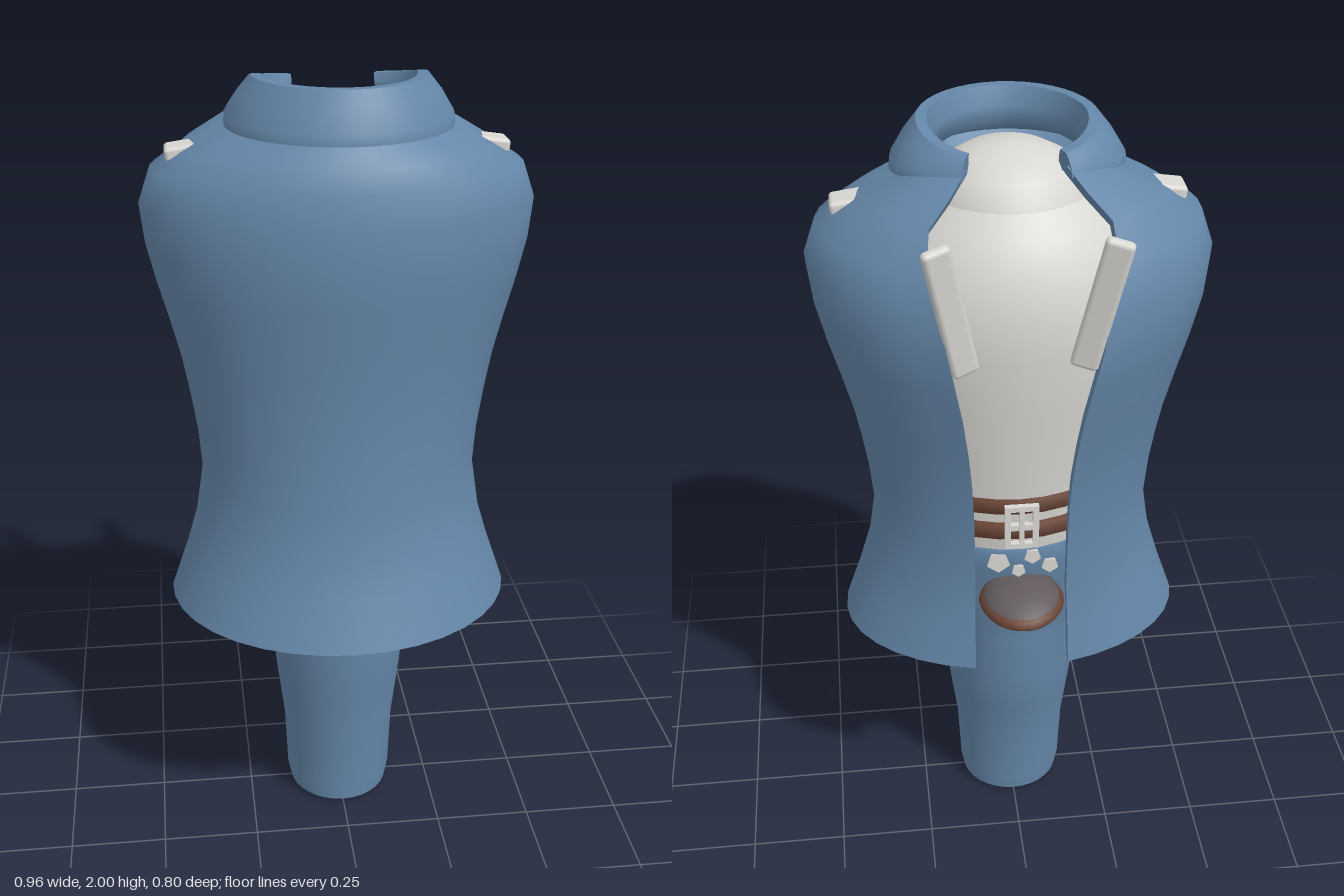
import * as THREE from 'three';
import { mergeGeometries } from 'three/addons/utils/BufferGeometryUtils.js';
import { RoundedBoxGeometry } from 'three/addons/geometries/RoundedBoxGeometry.js';

const SEGS = 32;
const mat = (name, color) => {
  const m = new THREE.MeshStandardMaterial({ color });
  m.name = name;
  return m;
};

// Smooth skin over a grid of points
function skin(rows, closed = false) {
  const n = rows[0].length, pos = rows.flat(2), idx = [];
  for (let i = 0; i < rows.length - 1; i++) {
    for (let j = 0; j < (closed ? n : n - 1); j++) {
      const k = (j + 1) % n, a = i * n + j, b = i * n + k, c = a + n, d = b + n;
      idx.push(a, c, b, b, c, d);
    }
  }
  const g = new THREE.BufferGeometry();
  g.setAttribute('position', new THREE.Float32BufferAttribute(pos, 3));
  g.setIndex(idx);
  g.computeVertexNormals();
  return g;
}

// One oval section; angle 0 is the back, gap is the half width left open there
function section([y, hx, front, back, gap = 0, tilt = 0], cz = 0, closed = false) {
  const start = gap ? Math.asin(Math.min(1, gap / hx)) : 0;
  return Array.from({ length: closed ? SEGS : SEGS + 1 }, (_, j) => {
    const t = start + (2 * Math.PI - 2 * start) * j / SEGS, c = Math.cos(t);
    return [hx * Math.sin(t), y + tilt * Math.max(0, c), cz - c * (c > 0 ? back : front)];
  });
}

const solid = (rows, cz = 0) => skin(rows.map(r => section(r, cz, true)), true);

// Thick garment wall, open at the back
function shell(outerRows, innerRows, cz = 0) {
  const out = outerRows.map(r => section(r, cz)), inn = innerRows.map(r => section(r, cz));
  const top = out.length - 1;
  return mergeGeometries([
    skin(out),
    skin([...inn].reverse()),
    skin([out[top], inn[top]]),
    skin([inn[0], out[0]]),
    skin(out.map((r, i) => [inn[i][0], r[0]])),
    skin(out.map((r, i) => [r[SEGS], inn[i][SEGS]])),
  ]);
}

export function createModel() {
  const group = new THREE.Group();
  const blue = mat('blue cloth', 0x6587a9);
  const light = mat('light cloth', 0xd9d7d2);
  const brown = mat('brown leather', 0x6b4535);
  const dark = mat('dark grey', 0x625a5d);

  const add = (name, geometry, material, x = 0, y = 0, z = 0) => {
    const m = new THREE.Mesh(geometry, material);
    m.name = name;
    m.position.set(x, y, z);
    group.add(m);
    return m;
  };

  // Flared coat: height, half width, front depth, back depth, opening, back rise
  const coat = [
    [0.645, 0.445, 0.40, 0.31, 0.12],
    [0.76, 0.405, 0.355, 0.295, 0.118],
    [0.87, 0.372, 0.317, 0.28, 0.115],
    [1.0, 0.352, 0.305, 0.285, 0.115],
    [1.1, 0.36, 0.298, 0.29, 0.116],
    [1.2, 0.375, 0.296, 0.30, 0.12],
    [1.3, 0.393, 0.30, 0.32, 0.128],
    [1.4, 0.418, 0.307, 0.34, 0.14],
    [1.5, 0.445, 0.317, 0.36, 0.157],
    [1.6, 0.468, 0.325, 0.375, 0.175],
    [1.7, 0.479, 0.318, 0.36, 0.19],
    [1.78, 0.45, 0.305, 0.33, 0.21],
    [1.83, 0.37, 0.283, 0.28, 0.2, 0.03],
    [1.86, 0.31, 0.262, 0.22, 0.15, 0.05],
    [1.888, 0.25, 0.238, 0.16, 0.11, 0.065],
  ];
  const lining = coat.map(([y, x, f, b, g, t]) =>
    [y > 1.75 ? y - 0.025 : y, x - 0.028, f - 0.028, b - 0.028, g, t]);
  add('coat', shell(coat, lining), blue);

  // Folded collar
  add('collar', shell(
    [[1.885, 0.272, 0.268, 0.21, 0.12, 0.045], [1.91, 0.27, 0.265, 0.205, 0.12, 0.035],
      [1.96, 0.24, 0.24, 0.195, 0.115, 0], [2.0, 0.208, 0.218, 0.185, 0.11, -0.035]],
    [[1.885, 0.225, 0.21, 0.16, 0.105, 0.045], [1.91, 0.165, 0.17, 0.15, 0.1, 0.035],
      [1.955, 0.17, 0.175, 0.155, 0.1, 0], [2.0, 0.183, 0.193, 0.163, 0.1, -0.035]], 0.03), blue);

  // Shirt with a rounded top
  add('shirt', solid([
    [0.8, 0.25, 0.2, 0.21], [0.97, 0.265, 0.215, 0.245], [1.1, 0.278, 0.22, 0.255],
    [1.25, 0.3, 0.225, 0.27], [1.4, 0.335, 0.24, 0.29], [1.55, 0.36, 0.25, 0.304],
    [1.65, 0.355, 0.25, 0.302], [1.74, 0.31, 0.24, 0.28], [1.81, 0.25, 0.22, 0.24],
    [1.86, 0.2, 0.2, 0.19],
  ]), light);
  add('neck', solid([
    [1.82, 0.19, 0.18, 0.195], [1.86, 0.178, 0.165, 0.183], [1.9, 0.145, 0.14, 0.15],
    [1.925, 0.1, 0.1, 0.1], [1.938, 0.05, 0.05, 0.05], [1.942, 0, 0, 0],
  ], 0.02), light);

  // Trousers tapering to one narrow foot end
  add('trousers', solid([
    [0.01, 0.135, 0.145, 0.125], [0.05, 0.143, 0.148, 0.13], [0.22, 0.15, 0.157, 0.14],
    [0.36, 0.167, 0.177, 0.172], [0.5, 0.182, 0.193, 0.2], [0.645, 0.19, 0.2, 0.2],
    [0.7, 0.23, 0.207, 0.207], [0.8, 0.265, 0.215, 0.225], [0.92, 0.272, 0.225, 0.25],
    [0.98, 0.273, 0.225, 0.256], [0.985, 0.26, 0.21, 0.24],
  ]), blue);
  add('trouserEnd', solid([[0, 0, 0, 0], [0.01, 0.135, 0.145, 0.125]]), blue);

  // Two belt straps with a double buckle
  for (const y of [1.05, 1.125]) {
    add('beltStrap', solid([
      [y - 0.022, 0.27, 0.21, 0.245], [y - 0.02, 0.288, 0.234, 0.266],
      [y + 0.02, 0.29, 0.236, 0.268], [y + 0.022, 0.272, 0.21, 0.245],
    ]), brown);
  }
  const rect = (C, w, h, y = 0) => new C([
    new THREE.Vector2(-w, y - h), new THREE.Vector2(w, y - h),
    new THREE.Vector2(w, y + h), new THREE.Vector2(-w, y + h)]);
  const frame = rect(THREE.Shape, 0.042, 0.062);
  frame.holes.push(rect(THREE.Path, 0.027, 0.02, -0.028), rect(THREE.Path, 0.027, 0.02, 0.028));
  add('buckle', new THREE.ExtrudeGeometry(frame, { depth: 0.015, bevelEnabled: false }), light, 0, 1.075, -0.282);
  add('bucklePin', new THREE.BoxGeometry(0.012, 0.11, 0.012), light, 0, 1.075, -0.278);

  // Light patches below the belt
  for (const [x, y, r] of [[0.055, 0.95, 0.03], [-0.03, 0.965, 0.022], [0.005, 0.925, 0.018], [-0.075, 0.93, 0.022]]) {
    const patch = add('clothPatch', new THREE.CylinderGeometry(r, r, 0.008, 5), light, x, y, -0.257 + Math.abs(x) * 0.12);
    patch.rotation.x = Math.PI / 2;
  }

  // Rounded flap standing out at the back
  add('flapBase', solid([
    [0.82, 0, 0, 0], [0.823, 0.06, 0.08, 0.07], [0.838, 0.1, 0.1, 0.115],
    [0.85, 0.107, 0.1, 0.125], [0.864, 0.1, 0.1, 0.115], [0.868, 0.09, 0.09, 0.1],
  ], -0.275), brown);
  add('flapTop', solid([
    [0.86, 0.097, 0.1, 0.113], [0.874, 0.092, 0.1, 0.1], [0.89, 0.07, 0.09, 0.06],
    [0.898, 0.04, 0.06, 0.025], [0.9, 0, 0, 0],
  ], -0.275), dark);

  // Back slats and shoulder tabs, mirrored
  for (const s of [-1, 1]) {
    const slat = add('backSlat', new RoundedBoxGeometry(0.066, 0.34, 0.028, 3, 0.012), light, s * 0.165, 1.705, -0.338);
    slat.rotation.set(-0.09, s * 0.3, -s * 0.2);
    const tab = add('shoulderTab', new RoundedBoxGeometry(0.12, 0.034, 0.076, 3, 0.01), light, s * 0.352, 1.824, 0.005);
    tab.rotation.z = -s * 0.14;
  }
  return group;
}
